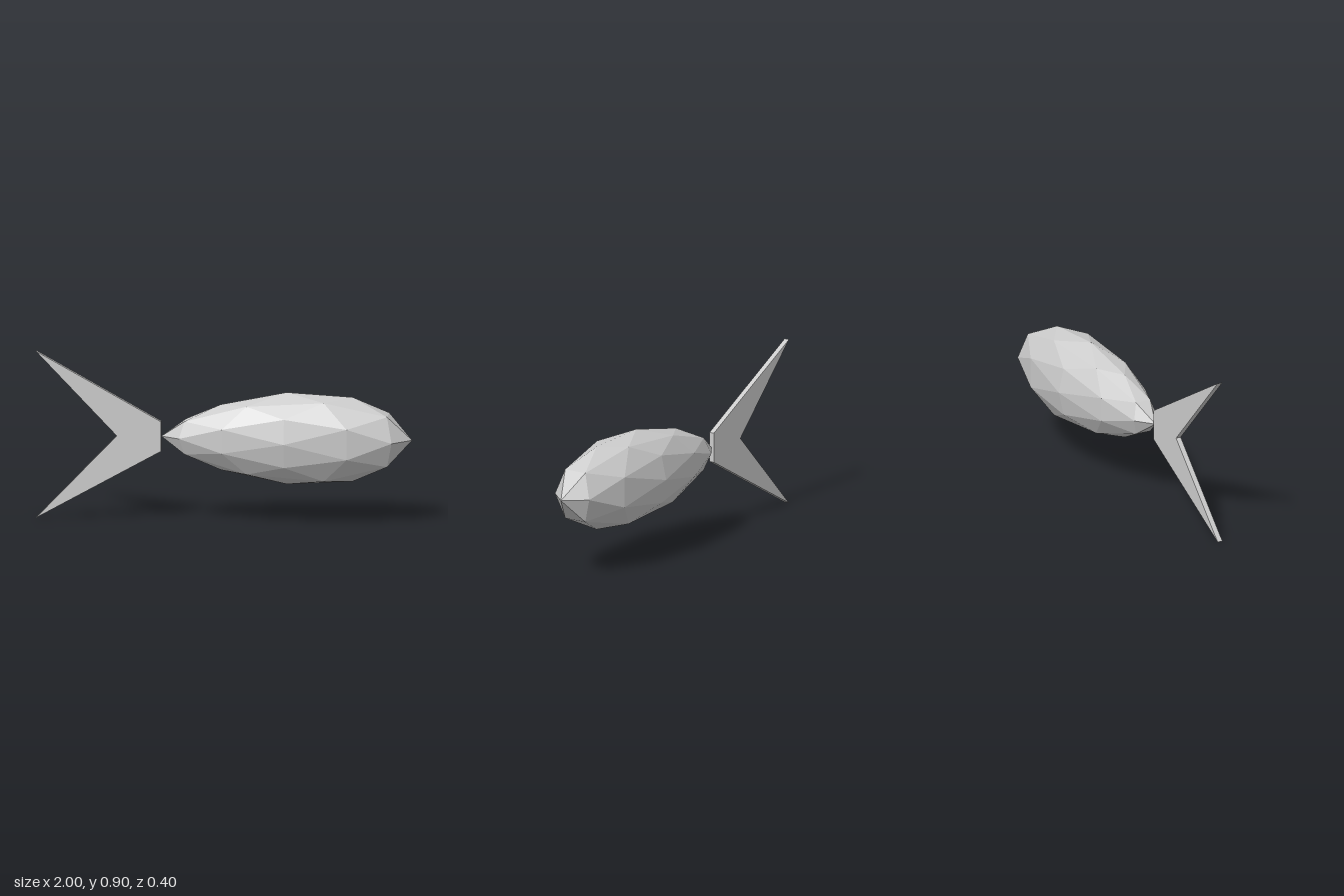
import * as THREE from 'three';

const MID_Y = 0.449;

// Faceted ellipsoid, fuller toward the nose (+x) and slimmer toward the tail
function bodyGeometry() {
  const geo = new THREE.IcosahedronGeometry(1, 1);
  const pos = geo.attributes.position;
  for (let i = 0; i < pos.count; i++) {
    const x = pos.getX(i);
    const girth = 1 + 0.23 * x - 0.15 * x * x;
    pos.setXYZ(i, x * 0.667, pos.getY(i) * 0.247 * girth, pos.getZ(i) * 0.198 * girth);
  }
  geo.computeVertexNormals();
  return geo;
}

// Forked flat tail fin, symmetric about the mid line
function tailGeometry(thickness) {
  const outline = [[-0.335, 0.08], [-1, 0.449], [-0.57, 0], [-1, -0.449], [-0.335, -0.08]];
  const shape = new THREE.Shape(outline.map(([x, y]) => new THREE.Vector2(x, y)));
  const geo = new THREE.ExtrudeGeometry(shape, { depth: thickness, bevelEnabled: false });
  geo.translate(0, 0, -thickness / 2);
  return geo;
}

export function createModel() {
  const group = new THREE.Group();
  group.name = 'fish';
  const material = new THREE.MeshStandardMaterial({ color: 0xcccccc, flatShading: true });

  const body = new THREE.Mesh(bodyGeometry(), material);
  body.name = 'body';
  body.position.set(0.333, MID_Y, 0);

  const tail = new THREE.Mesh(tailGeometry(0.029), material);
  tail.name = 'tailFin';
  tail.position.y = MID_Y;

  group.add(body, tail);
  return group;
}
